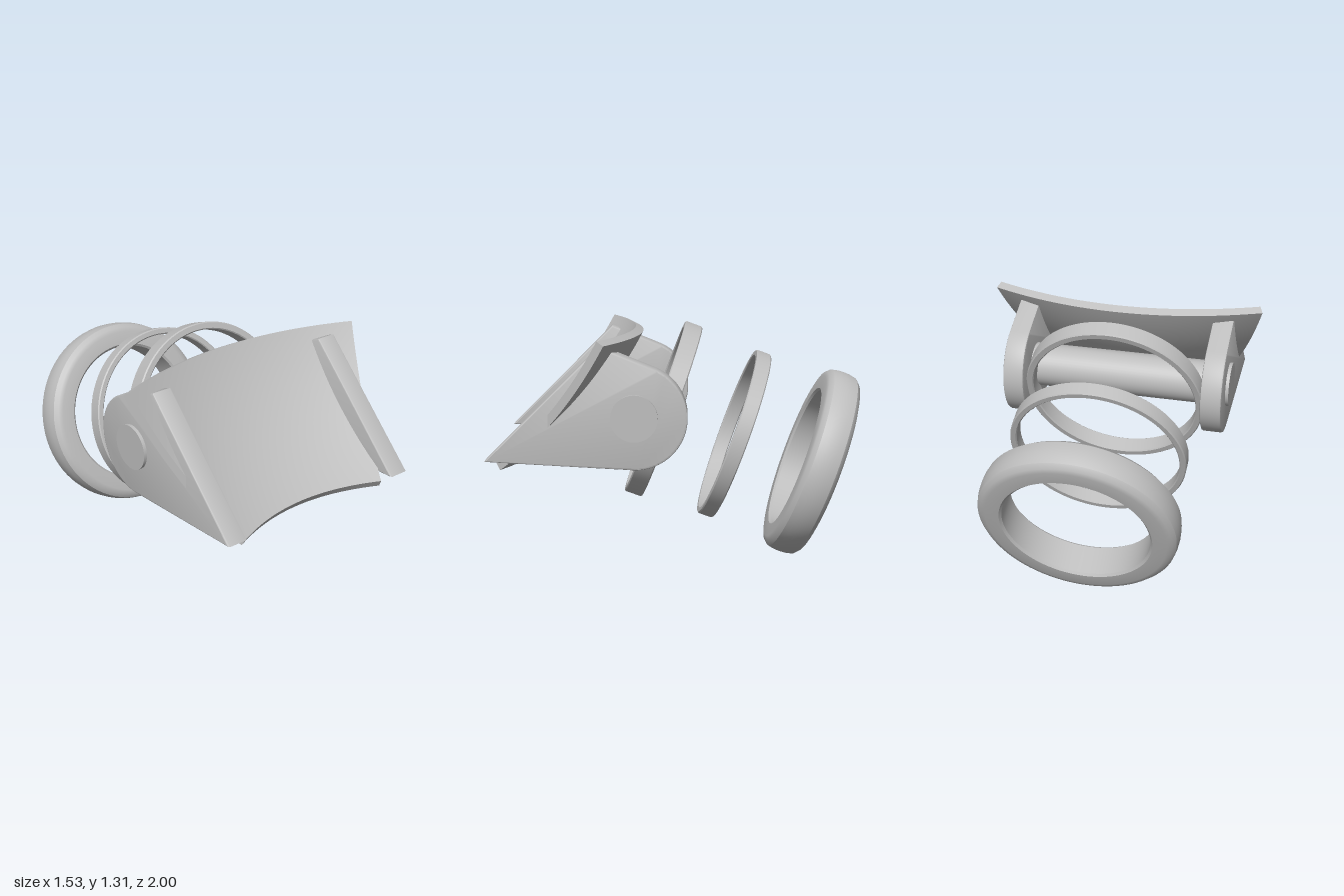
import * as THREE from 'three';
import { toCreasedNormals, mergeGeometries } from 'three/addons/utils/BufferGeometryUtils.js';
import { ParametricGeometry } from 'three/addons/geometries/ParametricGeometry.js';

const steel = new THREE.MeshStandardMaterial({ color: 0xbebebe });
steel.name = 'plain grey';

function addMesh(group, geometry, name) {
  const mesh = new THREE.Mesh(geometry, steel);
  mesh.name = name;
  group.add(mesh);
  return mesh;
}

// Dished blade: curved centre line, bowed across, sides cut by slanted vertical planes
function bladeGeometry() {
  const line = new THREE.QuadraticBezierCurve(
    new THREE.Vector2(0.847, 0.61), new THREE.Vector2(0.451, 0.865), new THREE.Vector2(0.237, 1.28)); // (z, y)
  const thickness = 0.048;
  const point = (u, v, t, target) => {
    const c = line.getPoint(v), d = line.getTangent(v);
    const z = c.x - d.y * thickness * t;
    const y = c.y + d.x * thickness * t;
    const bow = 0.5 - 0.21 * v;
    // half width where the bowed surface meets x = 0.95 - 0.5 z
    const w = (-1 + Math.sqrt(1 - 2 * bow * (0.5 * z - 0.95))) / bow;
    const x = (2 * u - 1) * w;
    target.set(x, y, z + bow * x * x);
  };
  const faces = [
    [(u, v, p) => point(u, v, 0, p), 32, 24],     // front
    [(u, v, p) => point(1 - u, v, 1, p), 32, 24], // back
    [(u, v, p) => point(1, v, u, p), 1, 24],      // left end
    [(u, v, p) => point(0, v, 1 - u, p), 1, 24],  // right end
    [(u, v, p) => point(u, 1, v, p), 32, 1],      // top
    [(u, v, p) => point(u, 0, 1 - v, p), 32, 1],  // bottom
  ];
  return mergeGeometries(faces.map(([f, nu, nv]) => new ParametricGeometry(f, nu, nv)));
}

// Side arm: rounded around the pin, pointed at the front
function armGeometry() {
  const bevel = 0.01, radius = 0.273, start = -1.628, end = 1.152;
  const shape = new THREE.Shape();
  shape.moveTo(-1, 0.64);
  shape.lineTo(-0.22 + radius * Math.cos(start), 0.87 + radius * Math.sin(start));
  shape.absarc(-0.22, 0.87, radius, start, end, false);
  shape.lineTo(-0.4, 1.237);
  shape.lineTo(-1, 0.64);
  const geometry = new THREE.ExtrudeGeometry(shape, {
    depth: 0.117 - 2 * bevel, bevelThickness: bevel, bevelSize: bevel,
    bevelOffset: -bevel, bevelSegments: 2, curveSegments: 32,
  });
  geometry.translate(0, 0, -0.117 / 2 + bevel);
  geometry.rotateY(Math.PI / 2);
  return toCreasedNormals(geometry, 0.5);
}

// Ring turned from a closed (radius, axial) profile
function ringGeometry(profile) {
  const points = [...profile, profile[0]].map(([r, t]) => new THREE.Vector2(r, t));
  return toCreasedNormals(new THREE.LatheGeometry(points, 80), 0.55);
}

// Flat hoop section with small chamfers
function hoopProfile(inner, outer, width) {
  const h = width / 2, c = 0.006;
  return [[inner + c, -h], [outer - c, -h], [outer, c - h], [outer, h - c],
    [outer - c, h], [inner + c, h], [inner, h - c], [inner, c - h]];
}

export function createModel() {
  const model = new THREE.Group();
  model.name = 'bladeAndRings';

  addMesh(model, bladeGeometry(), 'curvedBlade');

  const arm = armGeometry();
  for (const [side, name] of [[1, 'leftArm'], [-1, 'rightArm']]) {
    addMesh(model, arm, name).position.x = side * 0.5585;
  }

  // Pin through both arms
  const pin = addMesh(model, new THREE.CylinderGeometry(0.122, 0.122, 1.27, 48), 'hingePin');
  pin.rotation.z = Math.PI / 2;
  pin.position.set(0, 0.87, 0.222);

  // Thick rear ring: rounded outside, flat bore
  const half = [[0.48, 0.097], [0.506, 0.09], [0.527, 0.068], [0.534, 0.035]];
  const thick = [
    [0.394, -0.085], [0.406, -0.097],
    ...half.map(([r, t]) => [r, -t]), [0.536, 0], ...half.slice().reverse(),
    [0.406, 0.097], [0.394, 0.085],
  ];

  // Three tilted rings trailing behind
  const rings = [
    ['frontHoop', hoopProfile(0.464, 0.505, 0.1), 0.819, 0.085],
    ['middleHoop', hoopProfile(0.45, 0.487, 0.084), 0.678, -0.31],
    ['rearRing', thick, 0.519, -0.745],
  ];
  for (const [name, profile, y, z] of rings) {
    const ring = addMesh(model, ringGeometry(profile), name);
    ring.rotation.x = THREE.MathUtils.degToRad(-110);
    ring.position.set(0, y, z);
  }
  return model;
}
